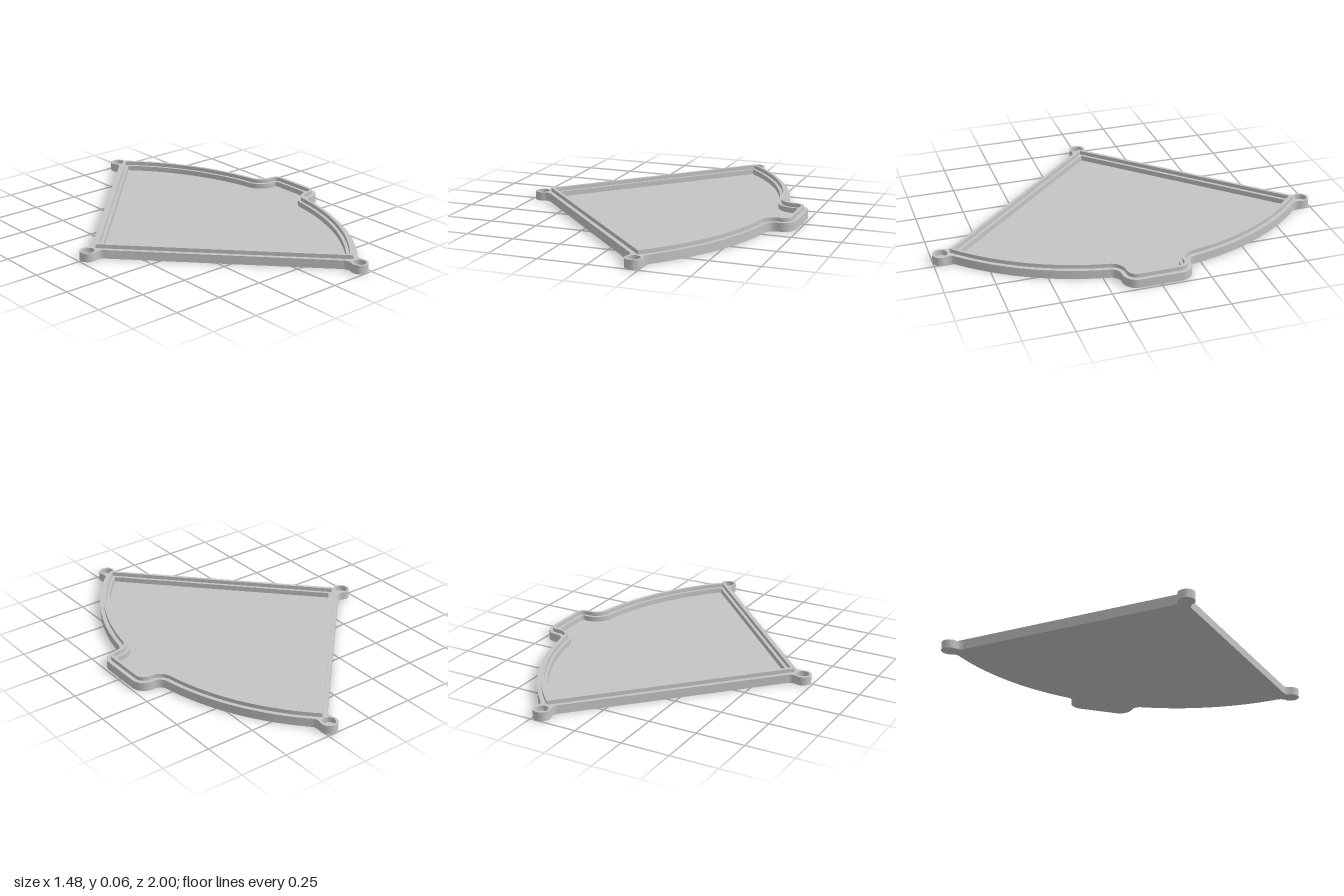
import * as THREE from 'three';
import { toCreasedNormals } from 'three/addons/utils/BufferGeometryUtils.js';

// Plan dimensions (plan x, plan y; the plan is mirrored about y = 0)
const apexX = -0.68, slope = 0.8116;               // straight sides
const arcX = -0.657, arcR = 1.283;                 // curved side
const tab = { x: 0.738, half: 0.175, corner: 0.07, fillet: 0.05 };
const boss = { r: 0.043, hole: 0.032, fillet: 0.04 };
const tip = new THREE.Vector2(-0.696, 0), corner = new THREE.Vector2(0.212, 0.957);
const C = new THREE.Vector2(arcX, 0);
const U = new THREE.Vector2(Math.cos(slope), Math.sin(slope));
const N = new THREE.Vector2(-U.y, U.x);

const angle = (from, to) => Math.atan2(to.y - from.y, to.x - from.x);

function arc(c, r, a0, a1, ccw, n) {
  const full = Math.PI * 2;
  let sweep = (((a1 - a0) % full) + full) % full;
  if (!ccw) sweep -= full;
  return Array.from({ length: n + 1 }, (_, i) => {
    const a = a0 + (sweep * i) / n;
    return new THREE.Vector2(c.x + r * Math.cos(a), c.y + r * Math.sin(a));
  });
}

// Centre of a fillet touching a boss and a straight side
function sideFillet(b, sign) {
  const f = boss.fillet, rel = b.clone().sub(new THREE.Vector2(apexX, 0));
  const t = rel.dot(U) + sign * Math.sqrt((boss.r + f) ** 2 - (f - rel.dot(N)) ** 2);
  return new THREE.Vector2(apexX, 0).addScaledVector(U, t).addScaledVector(N, f);
}

// Centre of the fillet touching the corner boss and the curved side
function arcFillet() {
  const d = C.distanceTo(corner), p = arcR + boss.fillet, q = boss.r + boss.fillet;
  const a = angle(C, corner) - Math.acos((p * p + d * d - q * q) / (2 * p * d));
  return new THREE.Vector2(C.x + p * Math.cos(a), C.y + p * Math.sin(a));
}

// Curved side and end tab, inset by d
function curvedEnd(d, startAngle) {
  const r = arcR + tab.fillet, y = tab.half + tab.fillet;
  const f = new THREE.Vector2(arcX + Math.sqrt(r * r - y * y), y);
  const k = new THREE.Vector2(tab.x - tab.corner, tab.half - tab.corner);
  const a = angle(C, f);
  return [
    ...arc(C, arcR - d, startAngle, a, false, 32),
    ...arc(f, tab.fillet + d, a + Math.PI, -Math.PI / 2, true, 10).slice(1),
    ...arc(k, tab.corner - d, Math.PI / 2, 0, false, 10),
  ];
}

// Inset outline with sharp corners
function insetHalf(d) {
  const a = new THREE.Vector2(apexX + d / U.y, 0);
  const rel = a.clone().sub(C), b = rel.dot(U);
  const t = -b + Math.sqrt(b * b - rel.lengthSq() + (arcR - d) ** 2);
  const end = a.clone().addScaledVector(U, t);
  return [a, ...curvedEnd(d, angle(C, end))];
}

// Outer outline with three bosses blended into the sides
function outerHalf() {
  const f1 = sideFillet(tip, 1), f2 = sideFillet(corner, -1), f3 = arcFillet();
  const inward = Math.atan2(-N.y, -N.x), f = boss.fillet;
  return [
    ...arc(tip, boss.r, Math.PI, angle(tip, f1), false, 12),
    ...arc(f1, f, angle(f1, tip), inward, true, 8).slice(1),
    ...arc(f2, f, inward, angle(f2, corner), true, 8),
    ...arc(corner, boss.r, angle(corner, f2), angle(corner, f3), false, 24).slice(1),
    ...arc(f3, f, angle(f3, corner), angle(f3, C), true, 8).slice(1),
    ...curvedEnd(0, angle(C, f3)).slice(1),
  ];
}

// Full counter-clockwise outline from its upper half
function mirrored(half) {
  const lower = half.slice(1).map((p) => new THREE.Vector2(p.x, -p.y));
  return [...half.slice().reverse(), ...lower];
}

export function createModel() {
  const group = new THREE.Group();
  group.name = 'sectorTray';
  const grey = new THREE.MeshStandardMaterial({ color: 0xc4c4c4 });
  grey.name = 'grey';

  function addPart(name, outline, holes, y0, y1) {
    const shape = new THREE.Shape(outline);
    shape.holes = holes.map((h) => new THREE.Path(h));
    let g = new THREE.ExtrudeGeometry(shape, { depth: y1 - y0, bevelEnabled: false });
    g.rotateX(-Math.PI / 2);
    g.translate(0, y0, 0);
    g = toCreasedNormals(g, 0.6);
    const mesh = new THREE.Mesh(g, grey);
    mesh.name = name;
    group.add(mesh);
  }

  const outer = mirrored(outerHalf());
  const inset = (d) => mirrored(insetHalf(d));
  const bossHoles = [tip, corner, new THREE.Vector2(corner.x, -corner.y)].map((c) =>
    arc(c, boss.hole, 0, (Math.PI * 2 * 31) / 32, true, 31));

  // Solid floor, perimeter wall with blind boss holes, and raised lip
  addPart('floor', outer, [], 0, 0.018);
  addPart('wall', outer, [inset(0.053), ...bossHoles], 0.018, 0.045);
  addPart('lip', inset(0.021), [inset(0.037)], 0.045, 0.065);
  return group;
}
